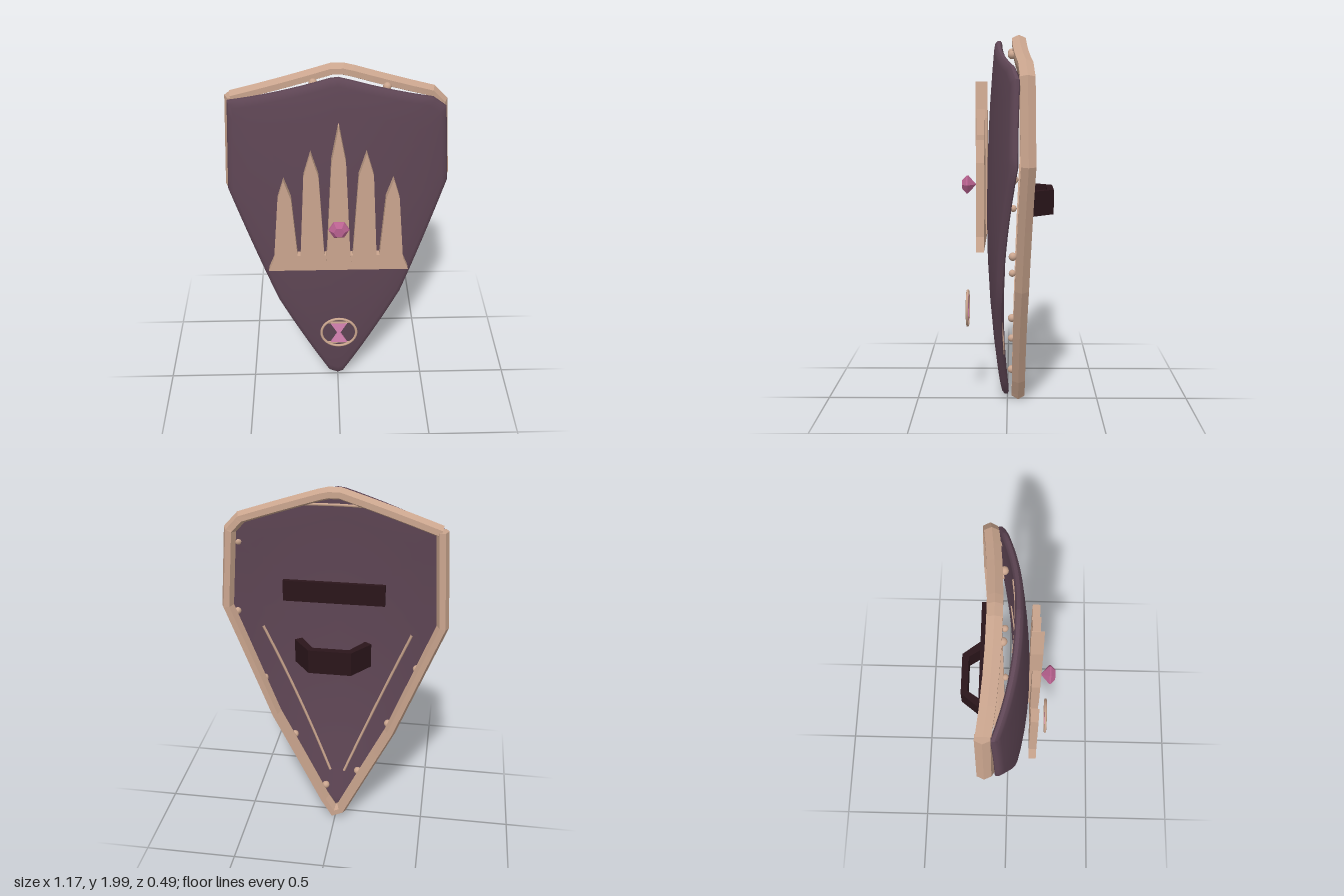
import * as THREE from 'three';
import { toCreasedNormals } from 'three/addons/utils/BufferGeometryUtils.js';

const mat = (color, extra = {}) => new THREE.MeshStandardMaterial({ color, ...extra });
const PURPLE = mat(0x5f4655);
const TAN = mat(0xcaa58e);
const TAN_FLAT = mat(0xcaa58e, { flatShading: true });
const DARK = mat(0x2a151a);
const GEM = mat(0xb8618f, { flatShading: true });
const PINK = mat(0xd884b4);

// Outlines run clockwise as seen from the front.
const PANEL = [[0, 1.97], [0.06, 1.955], [0.47, 1.83], [0.54, 1.77], [0.572, 1.36], [0.345, 0.68], [0.03, 0.05],
  [0, 0.035], [-0.05, 0.06], [-0.33, 0.63], [-0.572, 1.32], [-0.545, 1.81], [-0.04, 1.965]];
const RIM = [[-0.535, 1.845], [-0.035, 2], [0.03, 2], [0.08, 1.988], [0.48, 1.865], [0.55, 1.79], [0.585, 1.36], [0.355, 0.7],
  [0.09, 0.13], [0.02, 0.01], [-0.06, 0.05], [-0.335, 0.63], [-0.59, 1.31], [-0.56, 1.82]];

// Bowed middle surface of the panel.
const panelZ = (x, y) => 0.09 - (y > 1.05 ? 0.054 : 0.08) * (y - 1.05) ** 2 - 0.385 * x * x;
const rimZ = (x) => -0.06 - 0.13 * x * x;

function add(parent, name, geometry, material, x = 0, y = 0, z = 0) {
  const mesh = new THREE.Mesh(geometry, material);
  mesh.name = name;
  mesh.position.set(x, y, z);
  parent.add(mesh);
  return mesh;
}

// Skin a list of closed rings that all have the same number of points.
function loft(rings) {
  const n = rings[0].length, index = [];
  for (let k = 0; k < rings.length - 1; k++) {
    for (let i = 0; i < n; i++) {
      const j = (i + 1) % n;
      const a = k * n + i, b = k * n + j, c = a + n, d = b + n;
      index.push(a, b, d, a, d, c);
    }
  }
  const g = new THREE.BufferGeometry();
  g.setAttribute('position', new THREE.Float32BufferAttribute(rings.flat(2), 3));
  g.setIndex(index);
  g.computeVertexNormals();
  return g;
}

// Split each side of an outline into equal steps.
function subdivide(pts, steps, closed) {
  const out = [];
  const sides = closed ? pts.length : pts.length - 1;
  for (let i = 0; i < sides; i++) {
    const [ax, ay] = pts[i], [bx, by] = pts[(i + 1) % pts.length];
    for (let s = 0; s < steps; s++) out.push([ax + (bx - ax) * s / steps, ay + (by - ay) * s / steps]);
  }
  if (!closed) out.push(pts[pts.length - 1]);
  return out;
}

function panelGeometry() {
  const outline = subdivide(PANEL, 8, true);
  const ring = (s, dz) => outline.map(([px, py]) => {
    const x = px * s, y = 1.2 + (py - 1.2) * s;
    return [x, y, panelZ(x, y) + dz];
  });
  const scales = [0, 0.2, 0.4, 0.6, 0.8, 0.95];
  const rings = [
    ...scales.map((s) => ring(s, 0.02)),
    ring(0.985, 0.017), ring(1, 0.007), ring(1, -0.009), ring(0.985, -0.018),
    ...scales.reverse().map((s) => ring(s, -0.02)),
  ];
  return toCreasedNormals(loft(rings), 0.7);
}

function rimGeometry() {
  const path = subdivide(RIM, 4, false);
  const dir = (a, b) => new THREE.Vector2(b[0] - a[0], b[1] - a[1]).normalize();
  // Six-sided section: offset from the outer line, depth
  const section = [[0, 0], [-0.016, 0.036], [-0.046, 0.036], [-0.062, 0], [-0.046, -0.036], [-0.016, -0.036]];
  const rings = path.map((p, i) => {
    const before = i > 0 ? dir(path[i - 1], p) : dir(p, path[1]);
    const after = i < path.length - 1 ? dir(p, path[i + 1]) : before;
    const t = before.clone().add(after).normalize();
    const miter = Math.min(1 / t.dot(before), 1.3);
    return section.map(([u, w]) => {
      const x = p[0] - t.y * u * miter, y = p[1] + t.x * u * miter;
      return [x, y, rimZ(p[0]) + w];
    });
  });
  // Collapsed rings close the two ends
  const cap = (r) => {
    const c = [0, 1, 2].map((k) => r.reduce((sum, v) => sum + v[k], 0) / r.length);
    return r.map(() => c);
  };
  return loft([cap(rings[0]), ...rings, cap(rings[rings.length - 1])]);
}

function plate(pts, depth) {
  const shape = new THREE.Shape(pts.map(([x, y]) => new THREE.Vector2(x, y)));
  return new THREE.ExtrudeGeometry(shape, { depth, bevelEnabled: false });
}

const mirrored = (half) => [...half, ...half.map(([x, y]) => [-x, y]).reverse()];

export function createModel() {
  const shield = new THREE.Group();
  shield.name = 'shield';

  add(shield, 'panel', panelGeometry(), PURPLE);
  add(shield, 'rim', rimGeometry(), TAN_FLAT);

  // Crown emblem: side spikes on a base, with a thicker middle spike
  const crown = new THREE.Group();
  crown.name = 'crown';
  shield.add(crown);
  const half = [[0.37, 0.915], [0.34, 0.99], [0.308, 1.36], [0.275, 1.47], [0.24, 1.36], [0.216, 1.01], [0.2, 1.01],
    [0.175, 1.49], [0.138, 1.62], [0.1, 1.49], [0.075, 1.01], [0.06, 1.01]];
  add(crown, 'crownPlate', plate(mirrored(half), 0.04), TAN, 0, 0, 0.115);
  const spike = [[0.068, 0.957], [0.06, 1.05], [0.036, 1.57], [0.002, 1.76]];
  add(crown, 'crownMiddleSpike', plate(mirrored(spike), 0.062), TAN, 0, 0, 0.105);

  // Cut gem pointing back toward the crown
  const gemProfile = [[0, -0.045], [0.054, 0], [0.052, 0.008], [0.028, 0.03], [0, 0.03]];
  const gemShape = new THREE.LatheGeometry(gemProfile.map(([r, h]) => new THREE.Vector2(r, h)), 6);
  gemShape.rotateY(Math.PI / 2).rotateX(Math.PI / 2);
  add(shield, 'gem', gemShape, GEM, 0, 1.215, 0.212);

  // Hourglass medallion
  const medallion = new THREE.Group();
  medallion.name = 'medallion';
  medallion.position.set(0, 0.53, 0.218);
  shield.add(medallion);
  add(medallion, 'medallionRing', new THREE.TorusGeometry(0.096, 0.007, 8, 32), TAN);
  const glass = [[0.045, -0.068], [0.008, 0], [0.045, 0.068]];
  add(medallion, 'hourglass', plate(mirrored(glass), 0.01), PINK, 0, 0, -0.005);
  for (const s of [-1, 1]) {
    add(medallion, 'hourglassBar', new THREE.BoxGeometry(0.13, 0.006, 0.008), TAN, 0, s * 0.071, 0);
  }

  // Grip: a bent band on the back
  const grip = new THREE.Shape([[-0.2, 0.13], [-0.11, 0.245], [0.11, 0.245], [0.2, 0.13], [0.165, 0.105],
    [0.095, 0.21], [-0.095, 0.21], [-0.165, 0.105]].map(([x, z]) => new THREE.Vector2(x, z)));
  const gripBand = new THREE.ExtrudeGeometry(grip, { depth: 0.13, bevelEnabled: false });
  gripBand.rotateX(-Math.PI / 2);
  add(shield, 'grip', gripBand, DARK, 0, 1.07, 0);
  add(shield, 'armBar', new THREE.BoxGeometry(0.52, 0.11, 0.022), DARK, -0.005, 1.475, -0.126);

  // Rivets between panel and rim
  const rivets = [[0.06, 0.2], [0.235, 0.54], [0.395, 0.9], [0.525, 1.3], [0.5, 1.69], [0.24, 1.89],
    [-0.12, 1.915], [-0.125, 0.32], [-0.29, 0.66], [-0.435, 1.02], [-0.54, 1.4]];
  const ball = new THREE.SphereGeometry(0.021, 12, 8);
  for (const [x, y] of rivets) {
    add(shield, 'rivet', ball, TAN, x, y, -0.022 - 0.05 * x * x);
  }

  // Thin trim strips showing on the back of the panel
  const strips = [[[0.4, 1.2], [0.04, 0.28]], [[-0.4, 1.2], [-0.04, 0.28]], [[0.2, 1.88], [-0.16, 1.88]]];
  for (const [a, b] of strips) {
    const pts = [0, 0.25, 0.5, 0.75, 1].map((t) => {
      const x = a[0] + (b[0] - a[0]) * t, y = a[1] + (b[1] - a[1]) * t;
      return new THREE.Vector3(x, y, panelZ(x, y) - 0.019);
    });
    add(shield, 'trimStrip', new THREE.TubeGeometry(new THREE.CatmullRomCurve3(pts), 16, 0.008, 6), TAN);
  }

  return shield;
}
